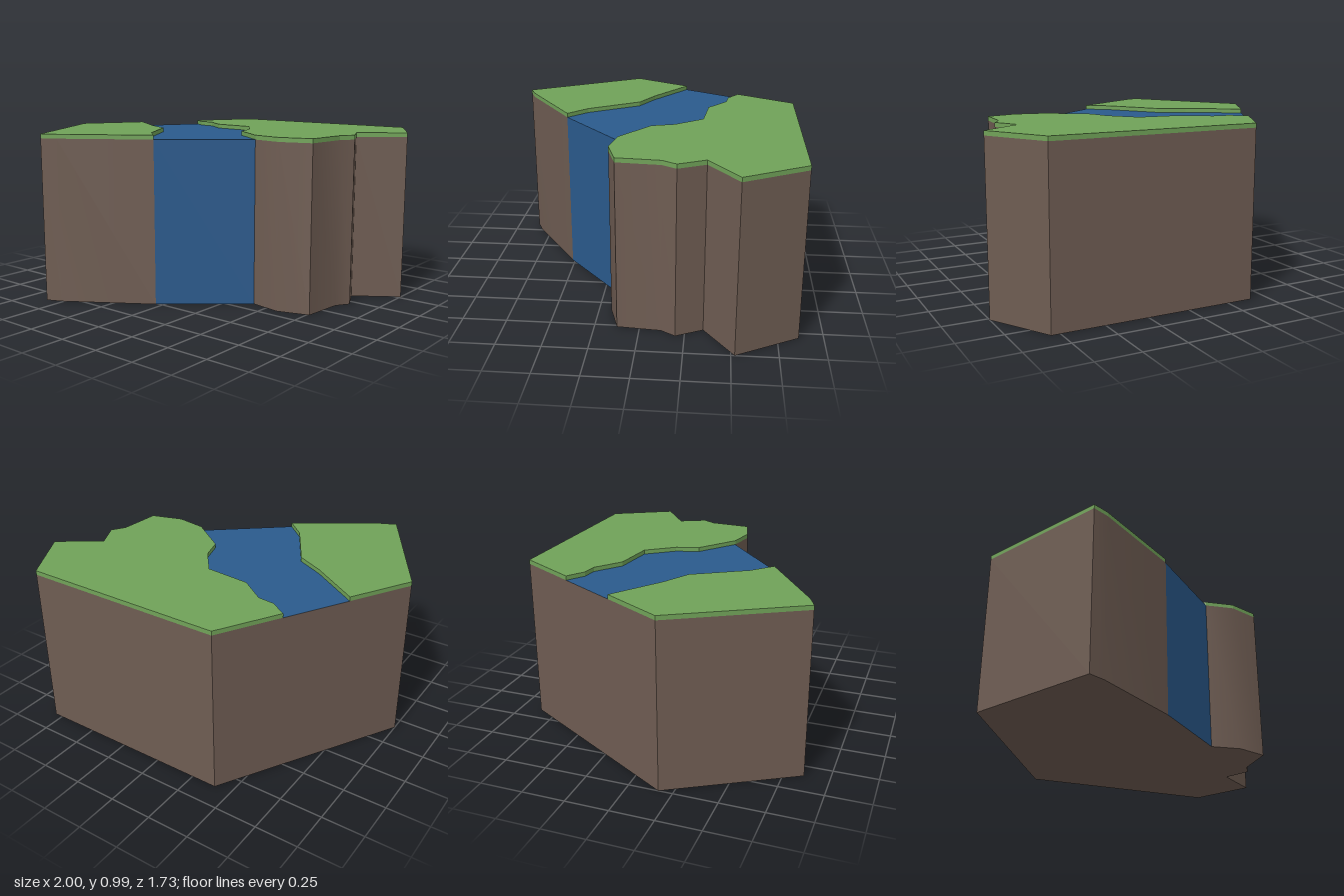
import * as THREE from 'three';
import { toCreasedNormals } from 'three/addons/utils/BufferGeometryUtils.js';

const WATER_Y = 0.96, GRASS_Y = 0.985;

// Plan points are [x, z], running clockwise as seen from above.
const southEdge = [[-0.04, 0.515], [-0.51, 0.82], [-0.6, 0.86], [-1, 0.17], [-0.8, -0.175]];
const northEdge = [[-0.6, -0.52], [-0.4, -0.865], [0.8, -0.865], [1, -0.52], [0.76, -0.35],
  [0.835, -0.2], [0.785, -0.12], [0.765, 0.125], [0.58, 0.18], [0.4, 0.15]];

// River banks between the ends of the two edges.
const southBank = [[-0.51, 0.02], [-0.345, 0.105], [-0.16, 0.405]];
const northBank = [[0.175, -0.015], [0.135, -0.15], [0.01, -0.31], [-0.255, -0.335],
  [-0.405, -0.445], [-0.5, -0.455]];

const toShape = (points, sign) =>
  new THREE.Shape(points.map(([x, z]) => new THREE.Vector2(x, sign * z)));

// Horizontal face looking up or down.
function flat(points, y, up = true) {
  return new THREE.ShapeGeometry(toShape(points, up ? -1 : 1))
    .rotateX(up ? -Math.PI / 2 : Math.PI / 2)
    .translate(0, y, 0);
}

// Vertical strip of wall below the water level, facing outwards.
function wall(points) {
  const positions = [];
  for (let i = 0; i < points.length - 1; i++) {
    const [ax, az] = points[i], [bx, bz] = points[i + 1];
    positions.push(ax, 0, az, ax, WATER_Y, az, bx, WATER_Y, bz);
    positions.push(ax, 0, az, bx, WATER_Y, bz, bx, 0, bz);
  }
  const geometry = new THREE.BufferGeometry();
  geometry.setAttribute('position', new THREE.Float32BufferAttribute(positions, 3));
  return toCreasedNormals(geometry, 0.5);
}

// Thin slab of turf.
function turf(points) {
  return new THREE.ExtrudeGeometry(toShape(points, -1), { depth: GRASS_Y - WATER_Y, bevelEnabled: false })
    .rotateX(-Math.PI / 2)
    .translate(0, WATER_Y, 0);
}

export function createModel() {
  const group = new THREE.Group();
  const earth = new THREE.MeshStandardMaterial({ color: 0x6e5c52 });
  const grass = new THREE.MeshStandardMaterial({ color: 0x70a258 });
  const water = new THREE.MeshStandardMaterial({ color: 0x2a5a8c });

  const add = (name, geometry, material) => {
    const mesh = new THREE.Mesh(geometry, material);
    mesh.name = name;
    group.add(mesh);
  };

  const outline = [...southEdge, ...northEdge];
  const southEnd = southEdge[0], northEnd = northEdge[northEdge.length - 1];

  // Cliff block
  add('cliffWalls', wall(outline), earth);
  add('cliffBase', flat(outline, 0, false), earth);

  // Grass on either side of the river
  add('southGrass', turf([...southEdge, ...southBank]), grass);
  add('northGrass', turf([...northEdge, ...northBank]), grass);

  // River surface and the waterfall dropping over the front edge
  const river = [southEdge[4], ...southBank, southEnd, northEnd, ...northBank, northEdge[0]];
  add('river', flat(river, WATER_Y), water);
  add('waterfall', wall([northEnd, southEnd]), water);

  return group;
}
